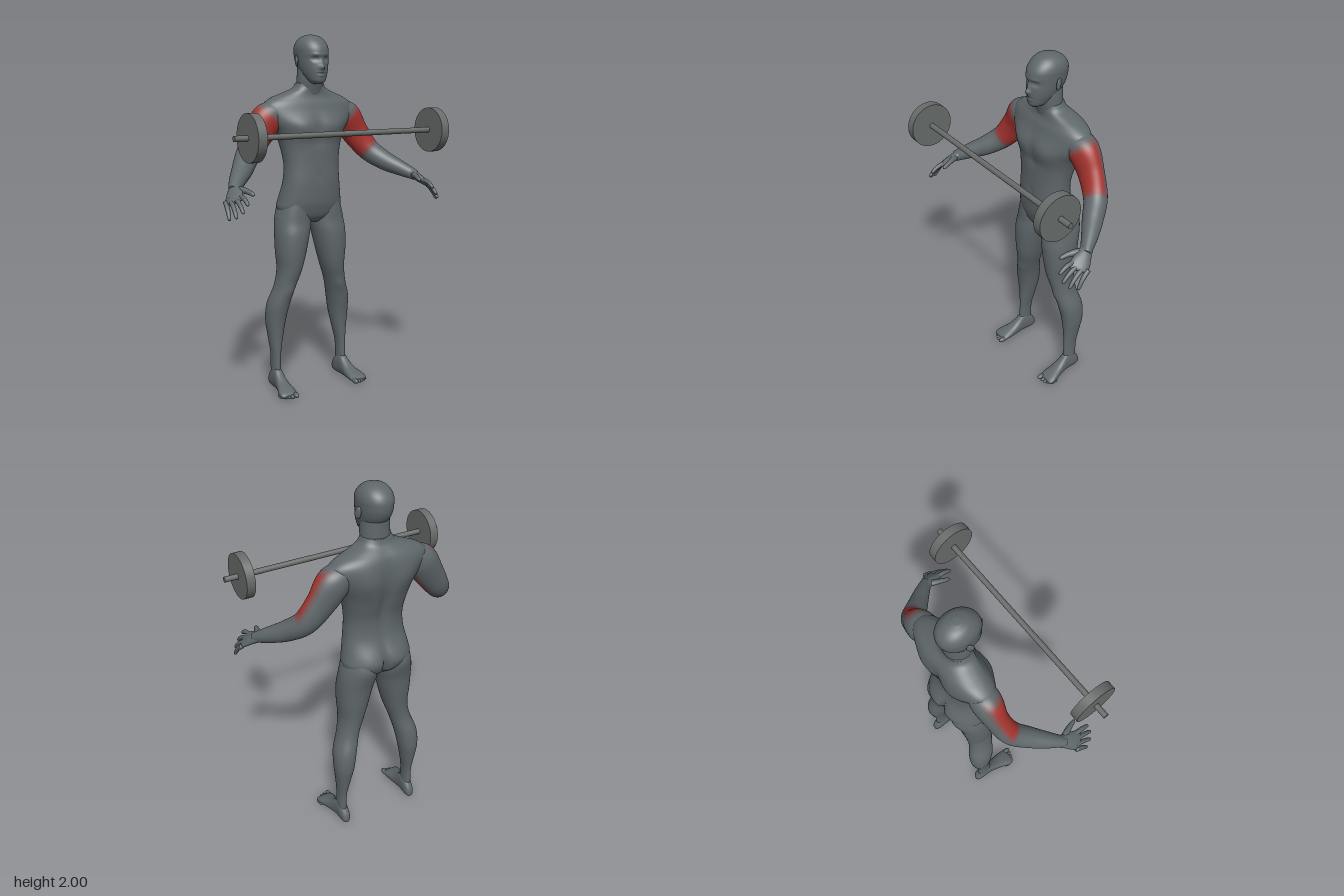
import * as THREE from 'three';

const mat = (name, color) => Object.assign(new THREE.MeshStandardMaterial({ color }), { name });
const V = (x, y, z) => new THREE.Vector3(x, y, z);
const smooth = THREE.MathUtils.smoothstep;
const spow = (v, e) => Math.sign(v) * Math.abs(v) ** e;

// Smooth interpolation down the columns of a list of cross-section rows
function rowAt(rows, t) {
  const i = Math.min(Math.floor(t), rows.length - 2), f = t - i;
  const at = k => rows[THREE.MathUtils.clamp(k, 0, rows.length - 1)];
  return rows[i].map((b, c) => {
    const a = at(i - 1)[c], d = at(i + 1)[c], e = at(i + 2)[c];
    return b + 0.5 * f * (d - a + f * (2 * a - 5 * b + 4 * d - e + f * (3 * (b - d) + e - a)));
  });
}

// Skin over closed rings; place(row, cos, sin, t) gives each point, pick(t, sin) a material index
function loft(rows, steps, n, place, pick) {
  const pos = [], buckets = [], m = (rows.length - 1) * steps;
  const face = (k, ...ids) => (buckets[k] ??= []).push(...ids);
  for (let j = 0; j <= m; j++) {
    const t = j / steps, row = rowAt(rows, t);
    for (let i = 0; i < n; i++) {
      const a = (i / n) * Math.PI * 2;
      pos.push(...place(row, Math.cos(a), Math.sin(a), t).toArray());
      if (j === m) continue;
      const k = pick ? pick(t + 0.5 / steps, Math.sin(a + Math.PI / n)) : 0;
      const p = j * n + i, q = j * n + (i + 1) % n;
      face(k, p, q, p + n, q, q + n, p + n);
    }
  }
  // end caps
  for (const j of [0, m]) {
    const c = V(0, 0, 0);
    for (let i = 0; i < n; i++) c.add(V(...pos.slice((j * n + i) * 3, (j * n + i) * 3 + 3)));
    const id = pos.length / 3;
    pos.push(...c.divideScalar(n).toArray());
    for (let i = 0; i < n; i++) {
      const p = j * n + i, q = j * n + (i + 1) % n;
      j ? face(0, p, q, id) : face(0, q, p, id);
    }
  }
  const g = new THREE.BufferGeometry();
  g.setAttribute('position', new THREE.Float32BufferAttribute(pos, 3));
  const index = [];
  buckets.forEach((b, k) => {
    if (pick) g.addGroup(index.length, b.length, k);
    for (const id of b) index.push(id);
  });
  g.setIndex(index);
  g.computeVertexNormals();
  return g;
}

// Soft dents and swellings along z: [x, y, z, rx, ry, rz, amount], mirrored when x is not 0
function sculpt(p, bumps) {
  let dz = 0;
  for (const [x, y, z, rx, ry, rz, amt] of bumps)
    for (const s of x ? [1, -1] : [1])
      dz += amt * Math.exp(-(((p.x - s * x) / rx) ** 2) - ((p.y - y) / ry) ** 2 - ((p.z - z) / rz) ** 2);
  p.z += dz;
  return p;
}

// Upright form from rows [y, x0, x1, zBack, zFront], bottom to top
const upright = (rows, steps, n, e, bumps = []) => loft(rows, steps, n, ([y, x0, x1, zb, zf], c, s) =>
  sculpt(V((x0 + x1) / 2 + (x1 - x0) / 2 * spow(c, e), y, (zb + zf) / 2 - (zf - zb) / 2 * spow(s, e)), bumps));
const even = rows => rows.map(([y, h, zb, zf]) => [y, -h, h, zb, zf]);

// Limb along a path from rows [x, y, z, radiusA, radiusB]; ref sets the direction of radiusA
function limb(rows, steps, n, ref, pick) {
  return loft(rows, steps, n, ([x, y, z, ra, rb], c, s, t) => {
    const end = rows.length - 1;
    const p0 = rowAt(rows, Math.max(0, t - 0.2)), p1 = rowAt(rows, Math.min(end, t + 0.2));
    const T = V(p1[0] - p0[0], p1[1] - p0[1], p1[2] - p0[2]).normalize();
    const A = ref.clone().addScaledVector(T, -ref.dot(T)).normalize();
    return V(x, y, z).addScaledVector(A, ra * c).addScaledVector(T.clone().cross(A), rb * s);
  }, pick);
}

function mirrored(geo) {
  const g = geo.clone().scale(-1, 1, 1), ix = g.index.array;
  for (let i = 0; i < ix.length; i += 3) [ix[i], ix[i + 1]] = [ix[i + 1], ix[i]];
  g.computeVertexNormals();
  return g;
}

export function createModel() {
  const model = new THREE.Group();
  const skin = mat('skin grey', 0x5f676a), steel = mat('steel grey', 0x676b6a);
  const armMats = [skin, mat('faint red', 0x6f5a5c), mat('soft red', 0x814d4c),
    mat('mid red', 0x93403d), mat('muscle red', 0xa6332e)];
  const add = (name, geo, m = skin) => {
    const mesh = new THREE.Mesh(geo, m);
    mesh.name = name;
    model.add(mesh);
    return mesh;
  };
  const pair = (name, geo, m) => {
    add('left' + name, geo, m);
    add('right' + name, mirrored(geo), m);
  };

  // Torso with chest, spine and seat modelling
  add('torso', upright(even([
    [0.965, 0.05, -0.25, -0.13], [1.0, 0.16, -0.295, -0.1], [1.05, 0.195, -0.315, -0.082],
    [1.1, 0.189, -0.308, -0.072], [1.2, 0.171, -0.272, -0.067], [1.3, 0.166, -0.268, -0.07],
    [1.4, 0.182, -0.292, -0.07], [1.47, 0.207, -0.308, -0.066], [1.53, 0.245, -0.314, -0.07],
    [1.59, 0.276, -0.314, -0.092], [1.63, 0.268, -0.31, -0.105], [1.66, 0.225, -0.3, -0.118],
    [1.685, 0.16, -0.282, -0.122], [1.71, 0.1, -0.262, -0.12], [1.74, 0.078, -0.252, -0.12],
  ]), 5, 64, 0.88, [
    [0.1, 1.5, -0.07, 0.07, 0.055, 0.08, 0.014], [0, 1.5, -0.06, 0.018, 0.09, 0.06, -0.008],
    [0, 1.4, -0.3, 0.03, 0.2, 0.06, 0.022], [0.11, 1.55, -0.3, 0.07, 0.08, 0.06, -0.014],
    [0.085, 1.07, -0.3, 0.07, 0.07, 0.06, -0.012], [0, 1.04, -0.31, 0.016, 0.08, 0.07, 0.035],
    [0, 1.23, -0.07, 0.012, 0.014, 0.04, -0.008], [0, 1.42, -0.06, 0.06, 0.03, 0.05, -0.006],
  ]));

  // Neck and head
  add('neck', upright(even([
    [1.64, 0.085, -0.27, -0.13], [1.7, 0.078, -0.254, -0.115], [1.76, 0.076, -0.25, -0.1],
    [1.83, 0.07, -0.25, -0.1],
  ]), 4, 32, 1));
  add('head', upright(even([
    [1.735, 0.022, -0.13, -0.07], [1.75, 0.045, -0.17, -0.055], [1.78, 0.062, -0.21, -0.051],
    [1.81, 0.073, -0.24, -0.049], [1.84, 0.08, -0.262, -0.05], [1.87, 0.084, -0.275, -0.052],
    [1.9, 0.086, -0.28, -0.05], [1.93, 0.086, -0.278, -0.057], [1.96, 0.076, -0.262, -0.078],
    [1.985, 0.053, -0.23, -0.11], [1.998, 0.02, -0.19, -0.15],
  ]), 6, 72, 0.95, [
    [0, 1.822, -0.045, 0.014, 0.013, 0.04, 0.02], [0, 1.845, -0.045, 0.009, 0.02, 0.04, 0.011],
    [0.034, 1.868, -0.055, 0.017, 0.012, 0.04, -0.014], [0.034, 1.867, -0.06, 0.009, 0.006, 0.04, 0.006],
    [0.03, 1.89, -0.055, 0.025, 0.008, 0.04, 0.004], [0, 1.79, -0.05, 0.022, 0.004, 0.03, -0.006],
    [0, 1.798, -0.05, 0.02, 0.006, 0.03, 0.005], [0, 1.781, -0.05, 0.018, 0.006, 0.03, 0.005],
  ]));
  pair('Ear', new THREE.SphereGeometry(1, 20, 14).scale(0.009, 0.033, 0.019)
    .rotateX(-0.2).rotateY(0.35).translate(0.09, 1.86, -0.168));

  // Legs
  pair('Leg', upright([
    [0.03, 0.2, 0.238, -0.24, -0.18], [0.1, 0.198, 0.244, -0.247, -0.163], [0.2, 0.195, 0.244, -0.25, -0.164],
    [0.3, 0.176, 0.255, -0.27, -0.163], [0.4, 0.155, 0.266, -0.288, -0.154], [0.5, 0.135, 0.26, -0.284, -0.135],
    [0.6, 0.108, 0.226, -0.26, -0.118], [0.7, 0.074, 0.209, -0.262, -0.094], [0.8, 0.046, 0.216, -0.275, -0.082],
    [0.9, 0.022, 0.217, -0.287, -0.08], [0.97, 0.004, 0.211, -0.3, -0.09], [1.03, 0.008, 0.198, -0.303, -0.092],
    [1.1, 0.03, 0.172, -0.29, -0.095],
  ], 5, 40, 0.95, [
    [0.165, 0.58, -0.12, 0.03, 0.035, 0.03, 0.008], [0.1, 1.03, -0.31, 0.07, 0.06, 0.05, -0.012],
  ]));

  // Feet, from heel to ball, with toes
  pair('Foot', loft([
    [-0.272, 0.208, 0.23, 0.015, 0.04], [-0.262, 0.197, 0.24, 0.004, 0.07], [-0.23, 0.191, 0.247, 0, 0.11],
    [-0.18, 0.192, 0.25, 0, 0.128], [-0.14, 0.19, 0.257, 0, 0.095], [-0.1, 0.186, 0.268, 0, 0.068],
    [-0.05, 0.183, 0.284, 0, 0.048], [-0.02, 0.186, 0.284, 0.002, 0.034], [-0.008, 0.195, 0.272, 0.008, 0.024],
  ], 4, 32, ([z, x0, x1, y0, y1], c, s) =>
    V((x0 + x1) / 2 + (x1 - x0) / 2 * spow(c, 0.85), (y0 + y1) / 2 + (y1 - y0) / 2 * spow(s, 0.85), z)));
  [[0.2, 0.02, 0.015], [0.224, 0.016, 0.011], [0.243, 0.01, 0.01], [0.261, 0.0, 0.01], [0.277, -0.012, 0.01]]
    .forEach(([x, tip, r], i) => pair('Toe' + (i + 1),
      new THREE.SphereGeometry(1, 16, 12).scale(r, r, 0.03).translate(x, r, tip - 0.03)));

  // Arms, with the front of the upper arm fading to red
  const tint = (t, s) => Math.round(4 * Math.min(
    smooth(t, 0.65, 1.25), 1 - smooth(t, 2.65, 3.2), smooth(s, -0.75, 0.1)));
  pair('Arm', limb([
    [0.19, 1.6, -0.205, 0.05, 0.07], [0.25, 1.55, -0.208, 0.09, 0.078], [0.32, 1.452, -0.204, 0.081, 0.062],
    [0.395, 1.352, -0.175, 0.066, 0.06], [0.46, 1.29, -0.105, 0.056, 0.054], [0.52, 1.25, -0.036, 0.044, 0.043],
    [0.562, 1.222, 0.018, 0.034, 0.031], [0.578, 1.21, 0.04, 0.03, 0.024],
  ], 12, 48, V(0.8, 0.6, 0), tint), armMats);

  // Hands
  const across = V(0.7, -0.4, -0.55);
  pair('Palm', limb([
    [0.552, 1.229, 0.002, 0.03, 0.026], [0.575, 1.21, 0.04, 0.036, 0.024], [0.592, 1.19, 0.075, 0.047, 0.02],
    [0.607, 1.169, 0.107, 0.05, 0.014], [0.613, 1.161, 0.118, 0.042, 0.007],
  ], 5, 28, across));
  const tips = [[0.578, 1.155, 0.202], [0.605, 1.118, 0.203], [0.632, 1.092, 0.182], [0.652, 1.079, 0.143]];
  tips.forEach(([x, y, z], i) => {
    const base = V(0.577, 1.187, 0.116).lerp(V(0.64, 1.152, 0.077), i / 3), tip = V(x, y, z);
    const rows = [[-0.1, 0.013], [0.35, 0.0125], [0.7, 0.011], [0.93, 0.009], [1, 0.004]].map(([f, r]) => {
      const p = base.clone().lerp(tip, f);
      return [p.x, p.y + 0.012 * Math.sin(Math.PI * Math.max(f, 0)), p.z, r, r];
    });
    pair('Finger' + (i + 1), limb(rows, 4, 14, across));
  });
  pair('Thumb', limb([
    [0.567, 1.212, 0.035, 0.018, 0.018], [0.55, 1.215, 0.07, 0.018, 0.016], [0.534, 1.21, 0.11, 0.014, 0.013],
    [0.524, 1.2, 0.145, 0.011, 0.01], [0.52, 1.196, 0.157, 0.004, 0.004],
  ], 4, 16, across));

  // Barbell
  const rod = (r, len, x) => new THREE.CylinderGeometry(r, r, len, 48).rotateZ(Math.PI / 2).translate(x, 1.485, 0.206);
  add('barbellBar', rod(0.015, 1.3, 0), steel);
  pair('BarbellPlate', rod(0.121, 0.048, 0.554), steel);
  return model;
}
